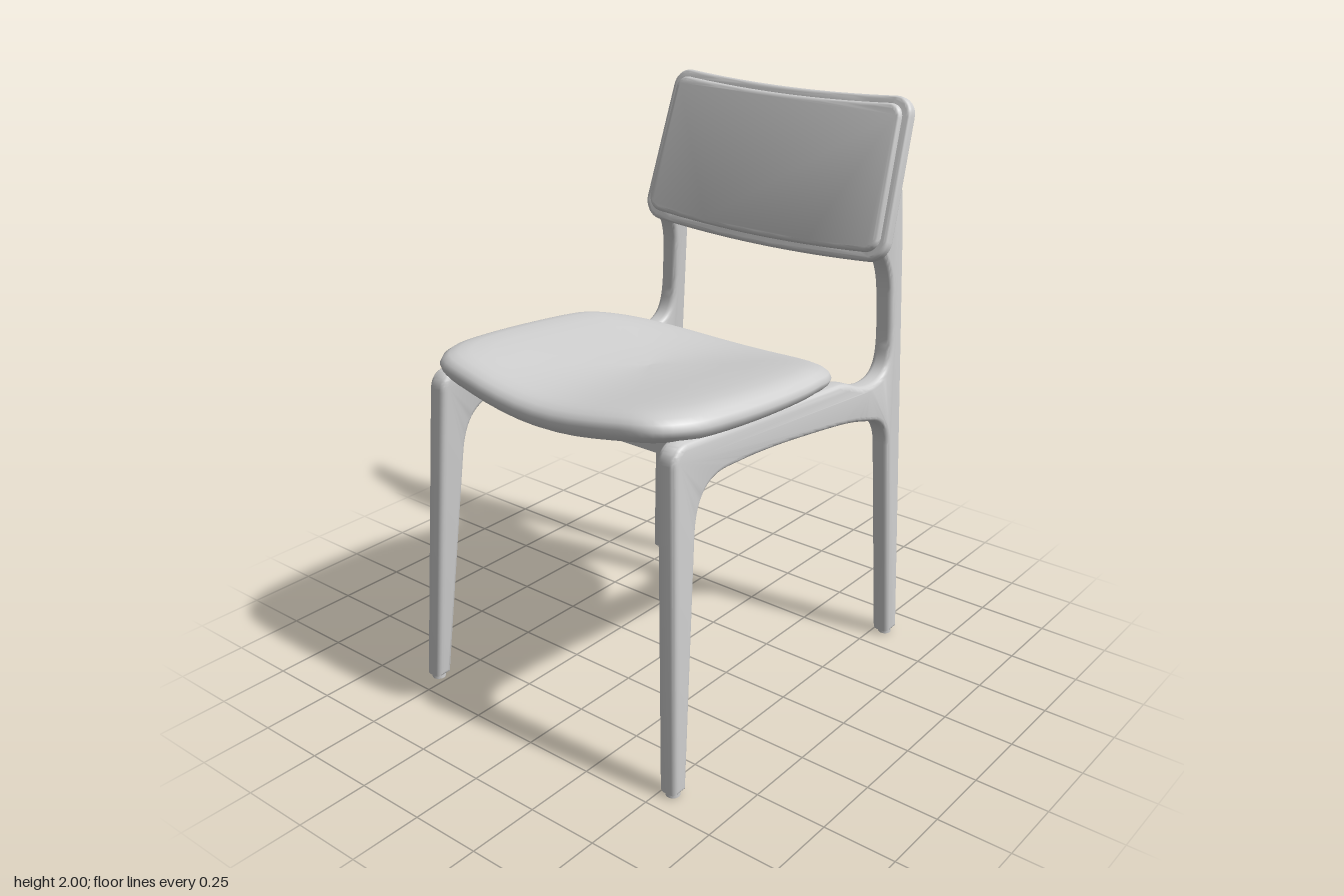
import * as THREE from 'three';
import { toCreasedNormals } from 'three/addons/utils/BufferGeometryUtils.js';

const paleGrey = new THREE.MeshStandardMaterial({ color: 0xd0d0d0 });
paleGrey.name = 'paleGrey';

function part(name, geometry, parent) {
  const mesh = new THREE.Mesh(geometry, paleGrey);
  mesh.name = name;
  parent.add(mesh);
  return mesh;
}

// Extrusion centred on its depth, with rounded edges kept inside the outline
function roundedExtrude(shape, depth, bevel) {
  const g = new THREE.ExtrudeGeometry(shape, {
    depth: depth - 2 * bevel, bevelThickness: bevel, bevelSize: bevel,
    bevelOffset: -bevel, bevelSegments: 4, curveSegments: 14,
  });
  return g.translate(0, 0, bevel - depth / 2);
}

// Side frame: front leg, seat rail and rear post in one profile (z, y)
function sideFrame(side) {
  const s = new THREE.Shape();
  s.moveTo(0.635, 0.015);
  s.lineTo(0.692, 0.015);
  s.lineTo(0.638, 1.1);
  s.quadraticCurveTo(0.635, 1.165, 0.57, 1.168);
  s.lineTo(-0.25, 1.1);
  s.bezierCurveTo(-0.33, 1.09, -0.36, 1.045, -0.45, 1.045);
  s.bezierCurveTo(-0.55, 1.045, -0.57, 1.1, -0.57, 1.22);
  s.lineTo(-0.568, 1.32);
  s.bezierCurveTo(-0.565, 1.42, -0.54, 1.45, -0.505, 1.5);
  s.lineTo(-0.585, 1.78);
  s.lineTo(-0.625, 1.78);
  s.quadraticCurveTo(-0.645, 1.68, -0.645, 1.5);
  s.lineTo(-0.645, 0.015);
  s.lineTo(-0.58, 0.015);
  s.lineTo(-0.555, 0.78);
  s.quadraticCurveTo(-0.55, 0.87, -0.47, 0.9);
  s.splineThru([[-0.3, 0.945], [0, 0.99], [0.2, 1.012], [0.38, 1.022]]
    .map(([z, y]) => new THREE.Vector2(z, y)));
  s.bezierCurveTo(0.5, 1.025, 0.535, 0.95, 0.545, 0.85);
  s.closePath();

  const g = roundedExtrude(s, 0.072, 0.02).rotateY(-Math.PI / 2);
  // Legs splay outwards towards the floor
  const p = g.attributes.position;
  for (let i = 0; i < p.count; i++) {
    p.setX(i, p.getX(i) + side * (0.54 - 0.047 * p.getY(i)));
  }
  return toCreasedNormals(g, 0.6);
}

// Rounded trapezoid whose long edges sag slightly in the middle
function backOutline(wBottom, wTop, v0, v1, r) {
  const corners = [[1, v0, -90], [1, v1, 0], [-1, v1, 90], [-1, v0, 180]];
  const raw = [];
  for (const [sx, v, start] of corners) {
    const w = v === v1 ? wTop : wBottom;
    const cy = v === v1 ? v - r : v + r;
    for (let k = 0; k <= 8; k++) {
      const a = THREE.MathUtils.degToRad(start + k * 11.25);
      raw.push([sx * (w - r) + r * Math.cos(a), cy + r * Math.sin(a)]);
    }
  }
  const pts = [];
  raw.forEach(([x, y], i) => {
    const [nx, ny] = raw[(i + 1) % raw.length];
    const steps = Math.abs(nx - x) > 0.2 ? 16 : 1;
    for (let k = 0; k < steps; k++) {
      const u = x + (nx - x) * k / steps, v = y + (ny - y) * k / steps;
      pts.push(new THREE.Vector2(u, v - 0.022 * (1 - (u / 0.5) ** 2)));
    }
  });
  return pts;
}

// Mid-surface of the seat: saddle across, sloping and drooping to the rear
function seatHeight(x, z) {
  const fade = THREE.MathUtils.clamp((z + 0.6) / 0.5, 0, 1);
  const saddle = 0.0275 * (1 - Math.cos(Math.PI * x / 0.52)) * fade;
  const droop = 0.25 * Math.max(0, -z - 0.1) ** 2;
  return 1.15 + saddle - 0.075 * (0.6 - z) - droop;
}

// Seat pad: scaled rings of one plan outline, from top centre round to below
function seatPad() {
  const half = [[0, 0.69], [0.3, 0.68], [0.45, 0.645], [0.52, 0.55], [0.548, 0.4], [0.558, 0.12],
    [0.54, -0.1], [0.5, -0.22], [0.41, -0.34], [0.27, -0.42], [0.12, -0.453], [0, -0.46]];
  const mirrored = half.slice(1, -1).reverse().map(([x, z]) => [-x, z]);
  const curve = new THREE.CatmullRomCurve3(
    [...half, ...mirrored].map(([x, z]) => new THREE.Vector3(x, 0, z)), true);
  const n = 88;
  const outline = curve.getPoints(n).slice(0, n);
  const rings = [[0, 1], [0.2, 1], [0.4, 1], [0.6, 1], [0.75, 1], [0.85, 0.97], [0.91, 0.87],
    [0.955, 0.68], [0.985, 0.4], [1, 0], [0.99, -0.4], [0.965, -0.75], [0.93, -0.94],
    [0.89, -1], [0.7, -1], [0.45, -1], [0.2, -1], [0, -1]];
  const pos = [], index = [];
  rings.forEach(([s, f], k) => outline.forEach((o, i) => {
    const x = o.x * s, z = 0.12 + (o.z - 0.12) * s;
    const thick = 0.04 + 0.01 * THREE.MathUtils.clamp((z + 0.4) / 0.8, 0, 1);
    pos.push(x, seatHeight(x, z) + f * thick, z);
    if (k < rings.length - 1) {
      const j = (i + 1) % n, a = k * n + i, b = k * n + j;
      index.push(a, a + n, b + n, a, b + n, b);
    }
  }));
  const g = new THREE.BufferGeometry();
  g.setAttribute('position', new THREE.Float32BufferAttribute(pos, 3));
  g.setIndex(index);
  g.computeVertexNormals();
  return g;
}

export function createModel() {
  const chair = new THREE.Group();
  chair.name = 'chair';

  for (const side of [1, -1]) {
    const label = side > 0 ? 'left' : 'right';
    part(label + 'SideFrame', sideFrame(side), chair);
    // Floor glides
    for (const [end, z] of [['Front', 0.664], ['Rear', -0.612]]) {
      part(label + end + 'Glide', new THREE.CylinderGeometry(0.024, 0.024, 0.03, 16), chair)
        .position.set(side * 0.54, 0.015, z);
    }
  }

  part('seatPad', seatPad(), chair);

  // Cross rails under the seat
  part('frontRail', new THREE.BoxGeometry(0.95, 0.07, 0.05), chair).position.set(0, 1.085, 0.45);
  part('middleRail', new THREE.BoxGeometry(0.95, 0.07, 0.06), chair).position.set(0, 1.04, -0.14);

  // Backrest: open frame with a cushion set in its front
  const backrest = new THREE.Group();
  backrest.name = 'backrest';
  backrest.position.set(0, 1.715, -0.6);
  backrest.rotation.x = -0.323;
  chair.add(backrest);

  const frame = new THREE.Shape(backOutline(0.525, 0.505, -0.27, 0.292, 0.07));
  frame.holes.push(new THREE.Path(backOutline(0.405, 0.395, -0.215, 0.23, 0.012).reverse()));
  part('backFrame', toCreasedNormals(roundedExtrude(frame, 0.046, 0.014), 0.6), backrest)
    .position.z = 0.023;

  const cushion = new THREE.Shape(backOutline(0.498, 0.478, -0.24, 0.264, 0.05));
  part('backCushion', toCreasedNormals(roundedExtrude(cushion, 0.046, 0.016), 0.6), backrest)
    .position.z = 0.043;

  return chair;
}
